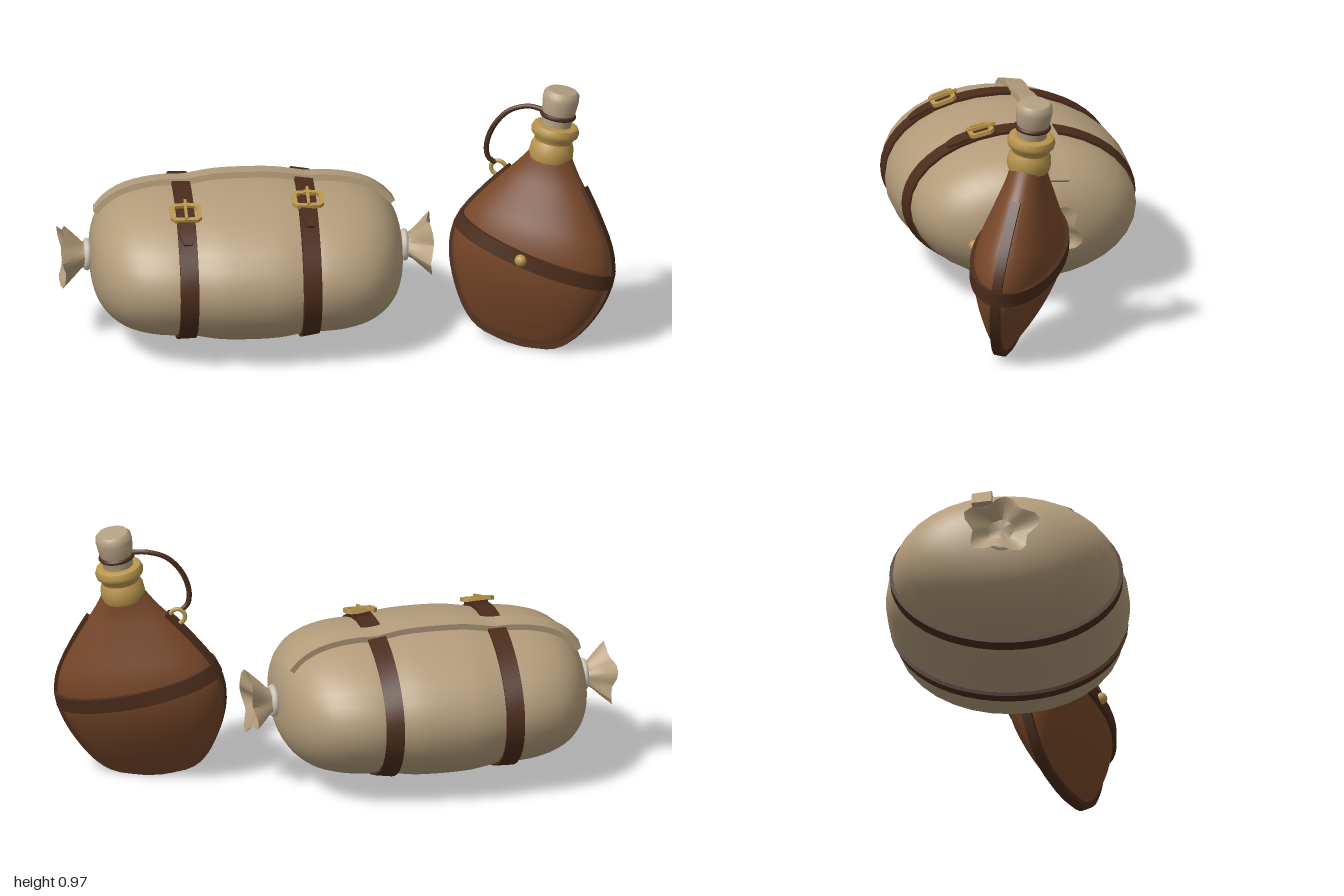
import * as THREE from 'three';
import { mergeVertices, toCreasedNormals } from 'three/addons/utils/BufferGeometryUtils.js';

const V = (x, y, z) => new THREE.Vector3(x, y, z);
const mat = (name, color) => new THREE.MeshStandardMaterial({ name, color });

// Closed skin over a list of rings; ends are capped unless the path loops
function skin(rings, { loop = false, crease = 0 } = {}) {
  const mid = r => r.reduce((s, p) => s.add(p), V(0, 0, 0)).divideScalar(r.length);
  const flat = r => { const m = mid(r); return r.map(() => m); };
  const all = loop ? [...rings, rings[0]] : [flat(rings[0]), ...rings, flat(rings[rings.length - 1])];
  const n = all[0].length, index = [];
  for (let i = 0; i < all.length - 1; i++) for (let j = 0; j < n; j++) {
    const a = i * n + j, b = a + n, d = i * n + (j + 1) % n, c = d + n;
    index.push(a, b, d, b, c, d);
  }
  const pts = all.flat();
  let volume = 0;
  for (let i = 0; i < index.length; i += 3)
    volume += pts[index[i]].dot(pts[index[i + 1]].clone().cross(pts[index[i + 2]]));
  if (volume < 0) index.reverse();
  let geo = new THREE.BufferGeometry().setFromPoints(pts);
  geo.setIndex(index);
  geo = mergeVertices(geo, 1e-5);
  if (crease) return toCreasedNormals(geo, crease);
  geo.computeVertexNormals();
  return geo;
}

// Flat strap following points with outward normals
function strap(path, halfWidth, thick, loop = false) {
  const N = path.length;
  const rings = path.map(({ p, n }, i) => {
    const next = loop ? path[(i + 1) % N] : path[Math.min(i + 1, N - 1)];
    const prev = loop ? path[(i + N - 1) % N] : path[Math.max(i - 1, 0)];
    const w = next.p.clone().sub(prev.p).cross(n).normalize();
    const h = typeof halfWidth === 'function' ? halfWidth(i / (N - 1)) : halfWidth;
    return [[-h, -0.015], [h, -0.015], [h, thick], [-h, thick]]
      .map(([a, b]) => p.clone().addScaledVector(w, a).addScaledVector(n, b));
  });
  return skin(rings, { loop, crease: 0.7 });
}

// Smooth profile and the parameter at which its first coordinate reaches a value
const profile = rows => new THREE.CatmullRomCurve3(rows.map(r => V(...r)), false, 'catmullrom', 0.5);
function solve(curve, value) {
  let lo = 0, hi = 1;
  for (let i = 0; i < 30; i++) {
    const m = (lo + hi) / 2;
    if (curve.getPoint(m).x < value) lo = m; else hi = m;
  }
  return lo;
}
function onSurface(S, u, v, centre) {
  const e = 0.004, p = S(u, v);
  const du = S(Math.min(u + e, 1), v).sub(S(Math.max(u - e, 0), v));
  const n = du.cross(S(u, v + e).sub(S(u, v - e))).normalize();
  if (n.dot(p.clone().sub(centre)) < 0) n.negate();
  return { p, n };
}
const range = (n, f) => Array.from({ length: n }, (_, i) => f(i / (n - 1), i));
const TAU = Math.PI * 2;

export function createModel() {
  const canvas = mat('canvas', 0xb39c7b), leather = mat('flask leather', 0x774729);
  const dark = mat('strap leather', 0x4b2c1b), brass = mat('brass', 0xb8954c);
  const cork = mat('cork', 0xb5a083), rope = mat('rope', 0xccc4b6);
  const ruffle = mat('ruffled canvas', 0xb39c7b);
  ruffle.side = THREE.DoubleSide;

  const model = new THREE.Group();
  const add = (parent, name, geo, material) => {
    const m = new THREE.Mesh(geo, material);
    m.name = name;
    parent.add(m);
    return m;
  };

  // ---- Bedroll ----
  const roll = new THREE.Group();
  roll.name = 'bedroll';
  model.add(roll);
  const CX = -0.32, CY = 0.31, H = 0.277, D = 0.437;
  const half = [[0, 1], [0.1, 0.99], [0.17, 0.955], [0.22, 0.925], [0.27, 0.93], [0.35, 0.905],
    [0.43, 0.83], [0.49, 0.7], [0.53, 0.53], [0.552, 0.33], [0.56, 0.12]];
  const rollCurve = profile([...half.slice(1).reverse().map(([x, s]) => [-x, s, 0]), ...half.map(([x, s]) => [x, s, 0])]);
  const rollS = (u, a) => {
    const { x, y: s } = rollCurve.getPoint(u);
    return V(CX + x, CY + H * s * Math.sin(a), D * s * Math.cos(a));
  };
  const onRoll = (x, a) => onSurface(rollS, solve(rollCurve, x - CX), a, V(x, CY, 0));
  add(roll, 'rollBody', skin(range(61, u => range(33, a => rollS(u, a * TAU)).slice(0, 32))), canvas);

  // Angle on the roll at which the surface reaches a given depth
  const angleAt = (x, z) => Math.acos(z / (D * rollCurve.getPoint(solve(rollCurve, x - CX)).y));

  // Top flap running lengthwise over the straps
  add(roll, 'topFlap', strap(range(41, f => {
    const x = -0.845 + f * 1.045;
    return onRoll(x, angleAt(x, -0.08));
  }), 0.036, 0.02), canvas);

  // Buckle frame, outlined as a rectangle with an opening
  const frame = new THREE.Shape();
  const rect = (s, w, h, c) => {
    s.moveTo(-w + c, -h); s.lineTo(w - c, -h); s.lineTo(w, -h + c); s.lineTo(w, h - c);
    s.lineTo(w - c, h); s.lineTo(-w + c, h); s.lineTo(-w, h - c); s.lineTo(-w, -h + c); s.closePath();
    return s;
  };
  rect(frame, 0.056, 0.045, 0.015);
  frame.holes.push(rect(new THREE.Path(), 0.04, 0.03, 0.008));
  const frameGeo = new THREE.ExtrudeGeometry(frame, { depth: 0.014, bevelEnabled: false }).rotateX(-Math.PI / 2);

  for (const [x, z] of [[-0.55, 0.19], [-0.11, 0.14]]) {
    add(roll, 'rollStrap', strap(range(49, f => onRoll(x, f * TAU)).slice(0, 48), 0.033, 0.014, true), dark);
    // Loose tail with a tapered tip
    const a0 = angleAt(x, z - 0.05), a1 = angleAt(x, z + 0.12);
    add(roll, 'strapTail', strap(range(9, f => onRoll(x, a0 + (a1 - a0) * f)),
      f => f > 0.8 ? 0.028 - (f - 0.8) * 0.07 : 0.028, 0.024), dark);
    const { p, n } = onRoll(x, angleAt(x, z));
    const buckle = new THREE.Group();
    buckle.name = 'buckle';
    buckle.position.copy(p).addScaledVector(n, 0.02);
    buckle.rotation.x = Math.atan2(n.z, n.y);
    add(buckle, 'buckleFrame', frameGeo, brass);
    add(buckle, 'bucklePin', new THREE.BoxGeometry(0.01, 0.012, 0.1).translate(0, 0.016, -0.008), brass);
    add(buckle, 'pinHinge', new THREE.BoxGeometry(0.028, 0.014, 0.014).translate(0, 0.012, -0.035), brass);
    roll.add(buckle);
  }

  // Gathered ends tied with rope
  for (const side of [-1, 1]) {
    const x0 = CX + side * 0.545;
    const rows = [[0, 0.05, 0], [0.03, 0.045, 0.05], [0.05, 0.056, 0.12], [0.08, 0.085, 0.18],
      [0.115, 0.118, 0.2], [0.108, 0.1, 0.2], [0.075, 0.045, 0.1]];
    add(roll, 'gatheredEnd', skin(rows.map(([d, r, k]) => range(31, f => {
      const a = f * TAU, pleat = Math.cos(5 * a + side);
      const rr = r * (1 + k * pleat * 0.8);
      return V(x0 + side * (d + k * 0.05 * Math.sin(3 * a)), 0.32 + rr * 0.85 * Math.sin(a), -0.01 + rr * 1.05 * Math.cos(a));
    }).slice(0, 30)), { crease: 0.6 }), ruffle);
    add(roll, 'ropeTie', new THREE.TorusGeometry(0.046, 0.013, 8, 24).rotateY(Math.PI / 2)
      .translate(x0 + side * 0.025, 0.32, -0.01), rope);
  }

  // ---- Flask ----
  const flask = new THREE.Group();
  flask.name = 'flask';
  flask.position.set(0.64, 0.015, 0.18);
  flask.quaternion.setFromUnitVectors(V(0, 1, 0), V(0.174, 0.983, -0.06).normalize())
    .multiply(new THREE.Quaternion().setFromAxisAngle(V(0, 1, 0), -0.45));
  model.add(flask);
  // Height, half width and half depth
  const flaskCurve = profile([[0, 0.02, 0.006], [0.02, 0.13, 0.025], [0.06, 0.19, 0.048], [0.12, 0.235, 0.08],
    [0.2, 0.275, 0.115], [0.28, 0.298, 0.14], [0.36, 0.3, 0.15], [0.44, 0.274, 0.14], [0.52, 0.225, 0.115],
    [0.6, 0.168, 0.09], [0.66, 0.12, 0.073], [0.72, 0.08, 0.063], [0.75, 0.066, 0.058]]);
  const flaskS = (u, a) => {
    const c = flaskCurve.getPoint(u);
    return V(c.y * Math.cos(a), c.x, c.z * Math.sin(a));
  };
  const onFlask = (t, a) => onSurface(flaskS, solve(flaskCurve, t), a, V(0, 0.36, 0));
  add(flask, 'flaskBody', skin(range(40, u => range(41, a => flaskS(u, a * TAU)).slice(0, 40))), leather);

  // Slanted belt, rim strip and stud
  const onBelt = a => onFlask(0.36 - 0.14 * 0.3 * Math.cos(a), a);
  add(flask, 'flaskBelt', strap(range(49, f => onBelt(f * TAU)).slice(0, 48), 0.027, 0.013, true), dark);
  add(flask, 'rimStrip', strap(range(50, f => {
    const k = Math.abs(f * 2 - 1);
    return onFlask(0.63 * k ** 1.6, f < 0.5 ? 0 : Math.PI);
  }), 0.018, 0.011), dark);
  const stud = add(flask, 'beltStud', new THREE.SphereGeometry(0.022, 14, 10), brass);
  const studAt = onBelt(1.53);
  stud.position.copy(studAt.p).addScaledVector(studAt.n, 0.014);

  // Neck collar, stopper and its cord loop
  const lathe = rows => toCreasedNormals(new THREE.LatheGeometry(rows.map(r => new THREE.Vector2(...r)), 28), 0.7);
  add(flask, 'neckCollar', lathe([[0.06, 0.7], [0.075, 0.705], [0.08, 0.725], [0.077, 0.755], [0.068, 0.775],
    [0.072, 0.788], [0.084, 0.8], [0.087, 0.815], [0.08, 0.832], [0.066, 0.838], [0.05, 0.835], [0.05, 0.8]]), brass);
  add(flask, 'stopper', lathe([[0, 0.78], [0.053, 0.79], [0.055, 0.87], [0.061, 0.89], [0.066, 0.935],
    [0.064, 0.955], [0.054, 0.966], [0, 0.968]]), cork);
  add(flask, 'stopperLoop', new THREE.TorusGeometry(0.057, 0.009, 8, 28).rotateX(Math.PI / 2).translate(0, 0.872, 0), dark);

  // Cord running from the stopper to a ring on the shoulder
  const cord = new THREE.CatmullRomCurve3([V(0.75, 0.885, 0.12), V(0.69, 0.892, 0.09), V(0.62, 0.87, 0.075),
    V(0.565, 0.81, 0.07), V(0.54, 0.74, 0.068), V(0.545, 0.69, 0.067), V(0.57, 0.665, 0.067)]);
  add(model, 'stopperCord', new THREE.TubeGeometry(cord, 40, 0.0095, 8), dark);
  add(model, 'shoulderRing', new THREE.TorusGeometry(0.027, 0.008, 8, 24).rotateY(-0.3).translate(0.582, 0.645, 0.067), brass);
  return model;
}
